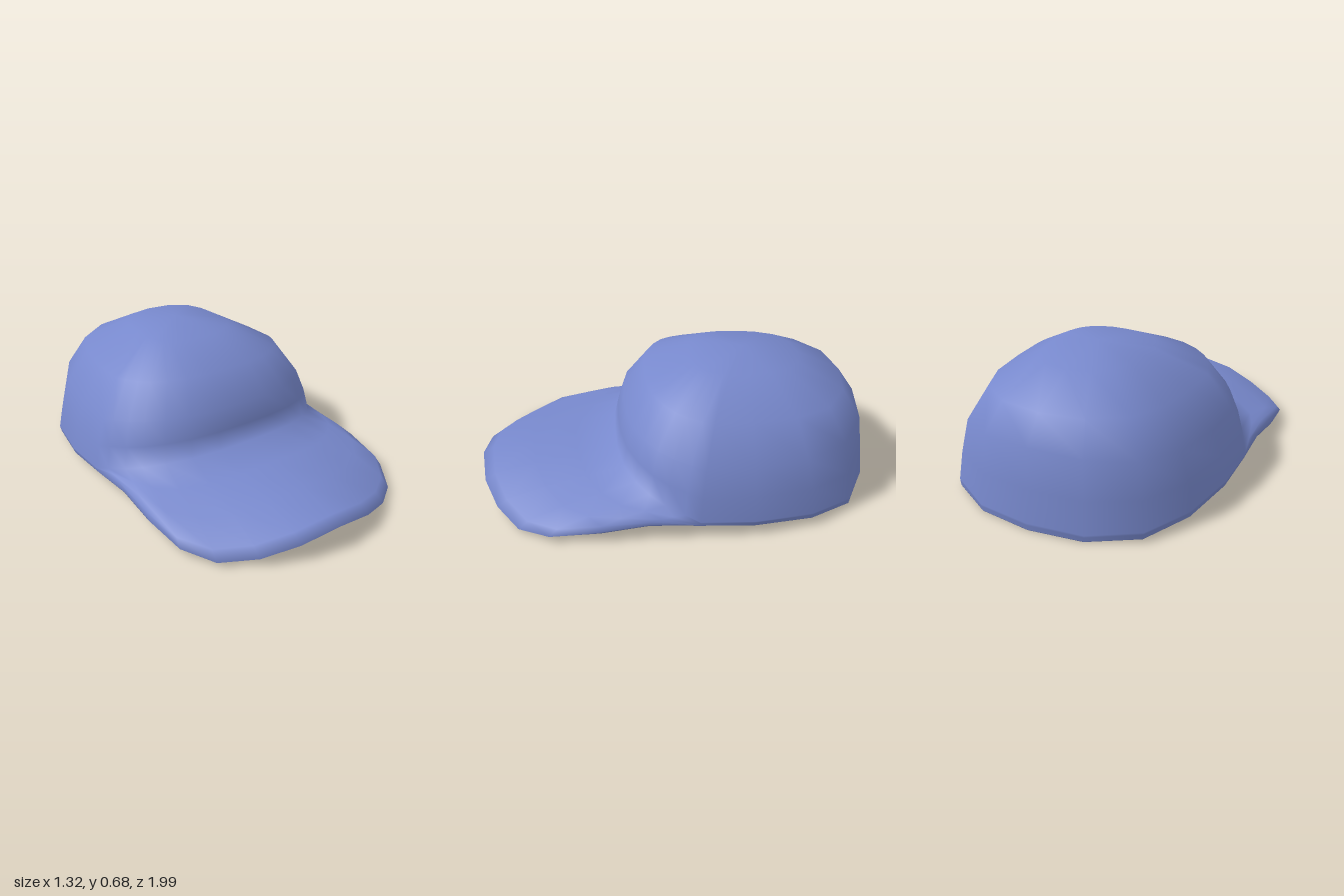
import * as THREE from 'three';
import { mergeVertices } from 'three/addons/utils/BufferGeometryUtils.js';

// Half outlines from front centre, round the model's left side, to back centre: [x, y, z]
const BASE = [ // seam where the crown meets the brim or the rim
  [0, .215, .30], [.16, .213, .295], [.31, .205, .27], [.43, .19, .22], [.52, .172, .16], [.58, .15, .09],
  [.63, .125, 0], [.66, .10, -.07], [.662, .085, -.33], [.612, .07, -.62], [.49, .05, -.84], [.27, .04, -.965], [0, .04, -.998]];
const EDGE = [ // outer edge of the brim, then the bottom of the rim
  [0, .118, .995], [.2, .085, .97], [.37, .042, .90], [.52, .016, .79], [.615, .036, .64], [.64, .062, .42],
  [.637, .085, .18], [.652, .074, -.07], [.655, .057, -.33], [.605, .038, -.62], [.485, .016, -.84], [.265, .005, -.96], [0, .002, -.992]];
const LAST = BASE.length - 1, COLS = LAST * 2;
const CENTRE_Z = -.36;

// Crown profiles as [plan scale, height fraction], from seam to top
const FRONT = [[.97, .2], [.924, .42], [.758, .74], [.42, .935]];
const SIDE = [[.96, .2], [.885, .42], [.715, .72], [.36, .94]];
const BACK = [[.975, .25], [.94, .55], [.80, .75], [.45, .92]];

const mix = (a, b, t) => a.map((v, i) => v + (b[i] - v) * t);
const inset = (p, s, dy) => [p[0] * s, p[1] + dy, CENTRE_Z + (p[2] - CENTRE_Z) * s];

// One strip of points: crown top, over the brim, round its edge, back under it, up the lining
function column(j) {
  const base = BASE[j], edge = EDGE[j];
  const brim = j < 7 ? Math.min(1, (7 - j) / 2) : 0;
  const inner = brim ? inset(base, .945, -.035) : inset(edge, .935, .008);
  const dz = base[2] - CENTRE_Z;
  const facing = dz * dz / (dz * dz + base[0] * base[0]);

  const crown = (foot, top) => {
    const pts = SIDE.map((s, i) => {
      const [scale, h] = mix(s, (dz > 0 ? FRONT : BACK)[i], facing);
      return [foot[0] * scale, foot[1] + (top - foot[1]) * h, CENTRE_Z + (foot[2] - CENTRE_Z) * scale];
    });
    return [[0, top, CENTRE_Z], ...pts.reverse(), foot];
  };
  const over = [[.3, .014], [.62, .026], [.92, .026]].map(([t, bulge]) => {
    const p = mix(base, edge, t);
    p[1] += bulge * brim;
    return p;
  });
  const under = [[.06, -.012], [.35, .006], [.7, .008]].map(([t, dy]) => {
    const p = mix(edge, inner, t);
    p[1] += dy * brim;
    return p;
  });
  return [...crown(base, .68), ...over, edge, ...under, ...crown(inner, .65).reverse()];
}

export function createModel() {
  const positions = [], index = [];
  let rows = 0;
  for (let c = 0; c < COLS; c++) {
    const mirrored = c > LAST;
    const strip = column(mirrored ? COLS - c : c);
    rows = strip.length;
    for (const [x, y, z] of strip) positions.push(mirrored ? -x : x, y, z);
  }
  for (let c = 0; c < COLS; c++) {
    const next = (c + 1) % COLS;
    for (let r = 0; r < rows - 1; r++) {
      const a = c * rows + r, d = next * rows + r;
      if (r < rows - 2) index.push(a, a + 1, d + 1);
      else index.push(a, a + 1, d);
      if (r > 0 && r < rows - 2) index.push(a, d + 1, d);
    }
  }
  let geometry = new THREE.BufferGeometry();
  geometry.setAttribute('position', new THREE.Float32BufferAttribute(positions, 3));
  geometry.setIndex(index);
  geometry = mergeVertices(geometry, 1e-5); // joins the two poles
  geometry.computeVertexNormals();

  const cap = new THREE.Mesh(geometry, new THREE.MeshStandardMaterial({ color: 0x7788cc }));
  cap.name = 'capCrownAndBrim';
  const group = new THREE.Group();
  group.name = 'cap';
  group.add(cap);
  return group;
}
